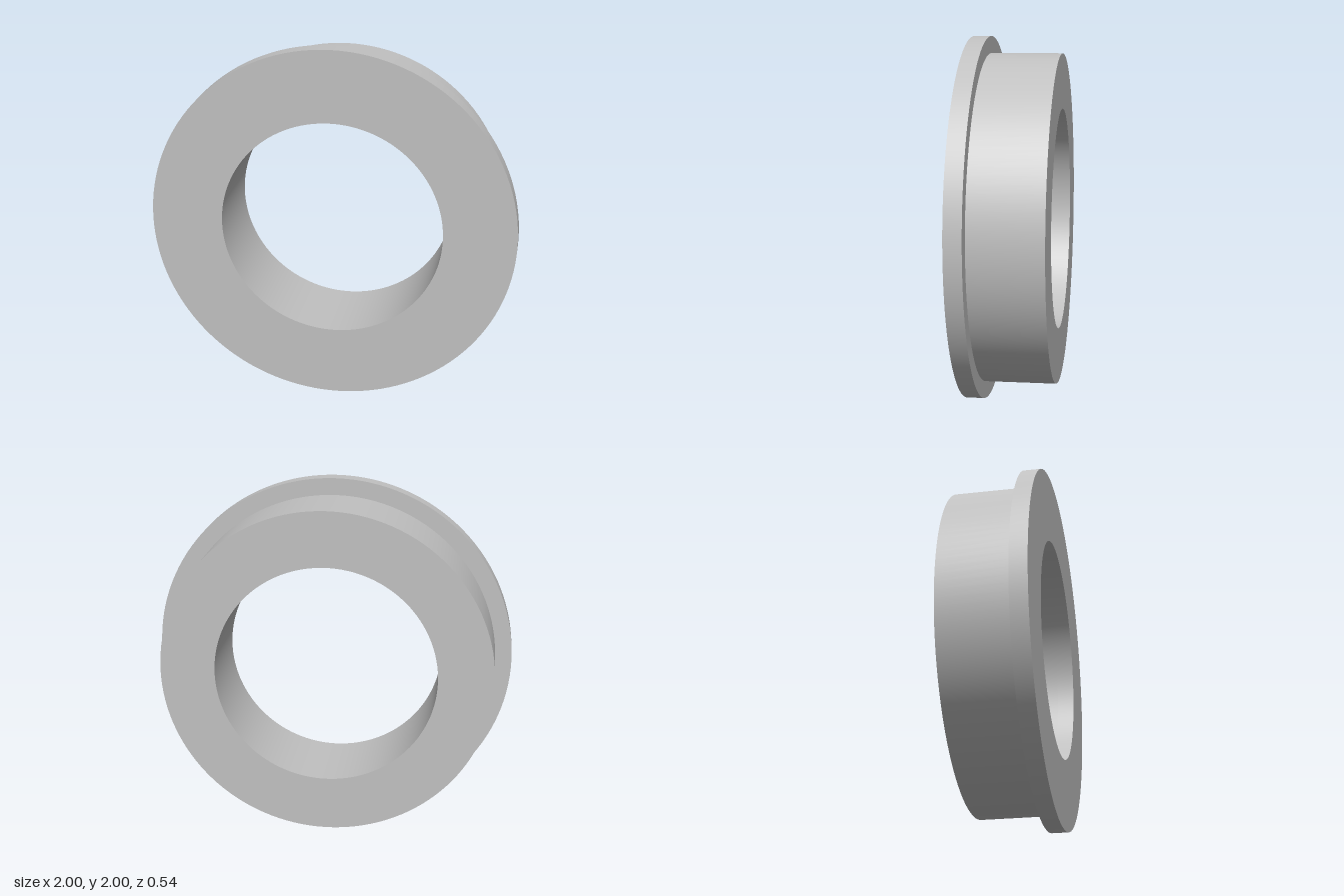
import * as THREE from 'three';
import { mergeGeometries } from 'three/addons/utils/BufferGeometryUtils.js';

const SEGMENTS = 128;

// Revolve each straight run of the profile on its own, so edges stay sharp
// while the round surfaces stay smooth. The axis is then laid along z.
function turned(profile) {
  const bands = [];
  for (let i = 0; i < profile.length - 1; i++) {
    const run = [profile[i], profile[i + 1]].map(([r, z]) => new THREE.Vector2(r, z));
    bands.push(new THREE.LatheGeometry(run, SEGMENTS));
  }
  return mergeGeometries(bands).rotateX(Math.PI / 2);
}

export function createModel() {
  const metal = new THREE.MeshStandardMaterial({ color: 0xc0c0c0 });
  metal.name = 'plain grey';

  const bore = 0.606, barrelRadius = 0.907, flangeRadius = 0.999;
  const back = -0.244, step = 0.146, front = 0.24;

  const model = new THREE.Group();
  model.name = 'flangedBushing';

  // Barrel: bore wall, back face, outer wall
  const barrel = new THREE.Mesh(
    turned([[bore, step], [bore, back], [barrelRadius, back], [barrelRadius, step]]), metal);
  barrel.name = 'barrel';

  // Flange: shoulder, rim, front face, bore wall
  const flange = new THREE.Mesh(
    turned([[barrelRadius, step], [flangeRadius, step], [flangeRadius, front], [bore, front], [bore, step]]), metal);
  flange.name = 'flange';

  // The whole ring is turned slightly about the vertical
  const ring = new THREE.Group();
  ring.name = 'ring';
  ring.add(barrel, flange);
  ring.rotation.y = -0.029;
  ring.position.set(0.0056, flangeRadius, 0);
  model.add(ring);
  return model;
}
